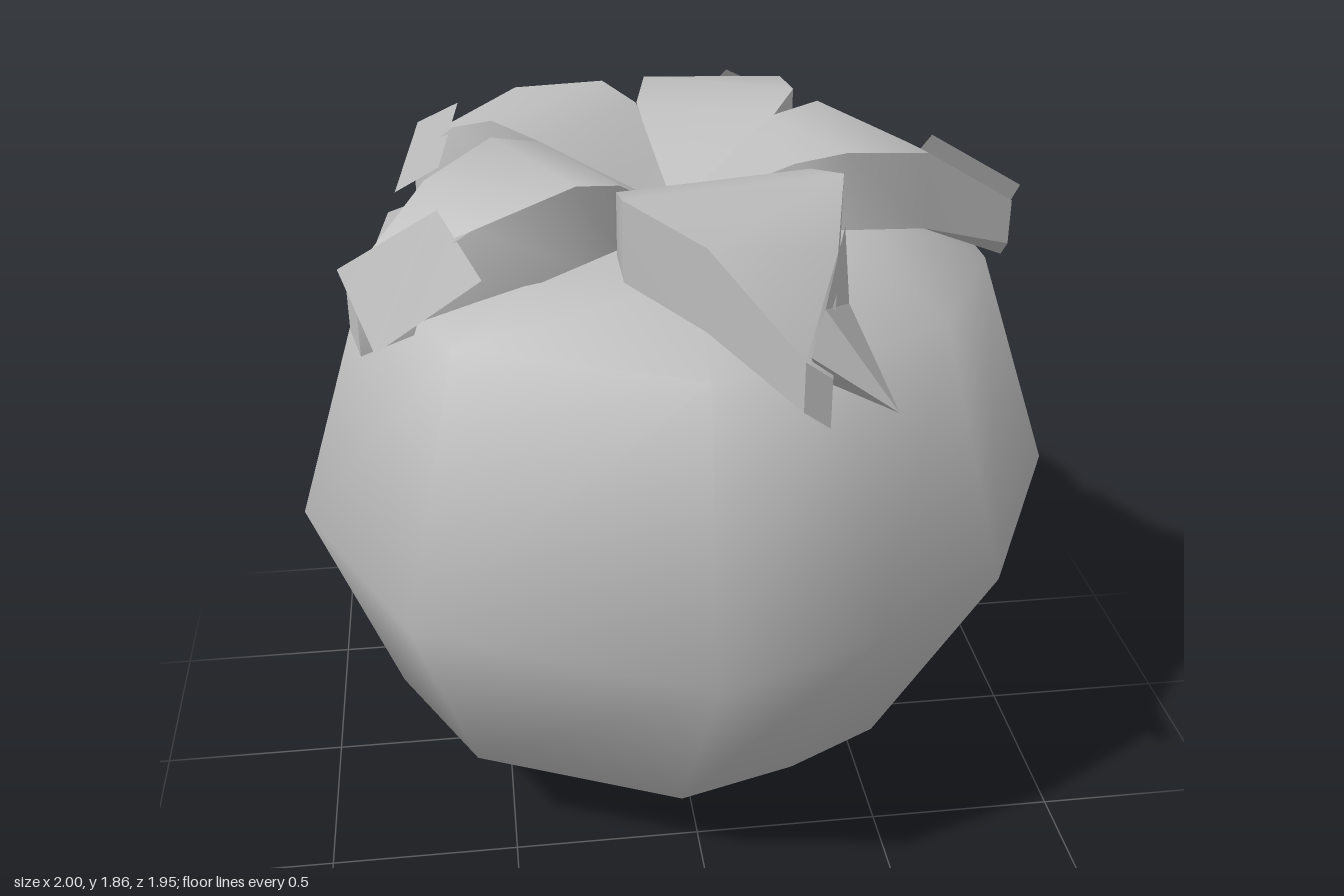
import * as THREE from 'three';
import { toCreasedNormals } from 'three/addons/utils/BufferGeometryUtils.js';

const skin = new THREE.MeshStandardMaterial({ color: 0xbcbcbc });
skin.name = 'plain grey';
const sheet = new THREE.MeshStandardMaterial({ color: 0xbcbcbc, side: THREE.DoubleSide });
sheet.name = 'plain grey leaf';

// Edges sharper than the crease angle stay sharp
function makeMesh(name, positions, index, material, crease) {
  const geometry = new THREE.BufferGeometry();
  geometry.setAttribute('position', new THREE.Float32BufferAttribute(positions, 3));
  geometry.setIndex(index);
  const mesh = new THREE.Mesh(toCreasedNormals(geometry, crease), material);
  mesh.name = name;
  return mesh;
}

// Widest outline of the fruit, counterclockwise from above: [x, z]
const outline = [
  [1, 0.14], [0.99, -0.25], [0.82, -0.61], [0.35, -0.98], [-0.4, -0.95], [-0.93, -0.41],
  [-1, 0.18], [-0.73, 0.68], [-0.02, 0.97], [0.4, 0.83], [0.74, 0.64],
];

// Rings from bottom to top: [scale, height, sideways shift, slope along x, dip at front and back]
const rings = [
  [0.4, 0.025, -0.04, -0.06, 0], [0.74, 0.27, -0.05, -0.03, 0], [1, 0.95, 0, 0, 0.12],
  [0.8, 1.54, 0, -0.02, 0], [0.46, 1.65, 0, 0, 0],
];

function createFruit() {
  const n = outline.length;
  const positions = [0, 0.015, 0];
  const index = [];
  for (const [scale, y, shift, slope, dip] of rings) {
    for (const [x, z] of outline) {
      const px = x * scale + shift;
      positions.push(px, y + slope * px - dip * Math.abs(z), z * scale + shift);
    }
  }
  positions.push(0, 1.6, -0.03);
  const top = positions.length / 3 - 1;
  const last = 1 + (rings.length - 1) * n;
  for (let j = 0; j < n; j++) {
    const k = (j + 1) % n;
    index.push(0, 1 + k, 1 + j);
    for (let i = 0; i < rings.length - 1; i++) {
      const a = 1 + i * n + j, b = 1 + i * n + k;
      index.push(a, b, b + n, a, b + n, a + n);
    }
    index.push(last + j, last + k, top);
  }
  return makeMesh('fruit', positions, index, skin, Math.PI);
}

// Leaf stations from the centre to the tip: [distance, half width, height, thickness, sideways tilt]
const stations = [
  [0.01, 0.02, 1.66, 0.03, 0], [0.14, 0.1, 1.74, 0.07, 0], [0.28, 0.19, 1.83, 0.16, 0],
  [0.41, 0.21, 1.86, 0.2, 0], [0.64, 0.12, 1.82, 0.2, 0.05], [0.9, 0.025, 1.65, 0.12, 0.05],
];

// Slanted tip plate: [distance, sideways, height]
const plate = [[0.69, -0.05, 1.81], [0.92, 0.02, 1.69], [0.9, -0.11, 1.52], [0.65, -0.18, 1.67]];

// Crumpled strip that the front leaf carries instead of a flat plate
const fold = [
  [0.64, -0.17, 1.83], [0.64, -0.19, 1.64], [0.81, -0.05, 1.72],
  [0.95, -0.17, 1.52], [0.92, 0.03, 1.67], [0.76, -0.06, 1.53],
];

function createLeaf(name, degrees, length, width, tip, tipIndex) {
  const group = new THREE.Group();
  group.name = name;
  const angle = THREE.MathUtils.degToRad(degrees);
  const c = Math.cos(angle), s = Math.sin(angle);
  const place = ([along, side, y]) => {
    const r = along * length;
    return [r * c - side * s, y, r * s + side * c];
  };

  // Blade: a four-cornered section lofted along the stations
  const positions = [];
  const index = [];
  stations.forEach(([r, half, y, depth, tilt], i) => {
    const w = half * width, low = y - tilt;
    for (const corner of [[r, -w, low], [r, w, y], [r, w, y - depth], [r, -w, low - depth]]) {
      positions.push(...place(corner));
    }
    if (i === 0) return;
    for (let j = 0; j < 4; j++) {
      const a = (i - 1) * 4 + j, b = (i - 1) * 4 + (j + 1) % 4;
      index.push(a, b, b + 4, a, b + 4, a + 4);
    }
  });
  const end = (stations.length - 1) * 4;
  index.push(end, end + 1, end + 2, end, end + 2, end + 3);
  group.add(makeMesh('blade', positions, index, sheet, 0.8));
  group.add(makeMesh('leafTip', tip.flatMap(place), tipIndex, sheet, 0.1));
  return group;
}

export function createModel() {
  const model = new THREE.Group();
  model.name = 'fruitWithLeaves';
  const flat = [0, 1, 2, 0, 2, 3];
  const crumpled = [0, 1, 2, 1, 3, 2, 2, 3, 4, 3, 5, 4];
  model.add(
    createFruit(),
    createLeaf('leftLeaf', 1, 0.98, 1, plate, flat),
    createLeaf('backLeftLeaf', -67, 1.05, 1, plate, flat),
    createLeaf('backRightLeaf', -135, 1.03, 1.05, plate, flat),
    createLeaf('rightLeaf', 154, 1, 1, plate, flat),
    createLeaf('frontLeaf', 78, 1.04, 1.3, fold, crumpled),
  );
  return model;
}
